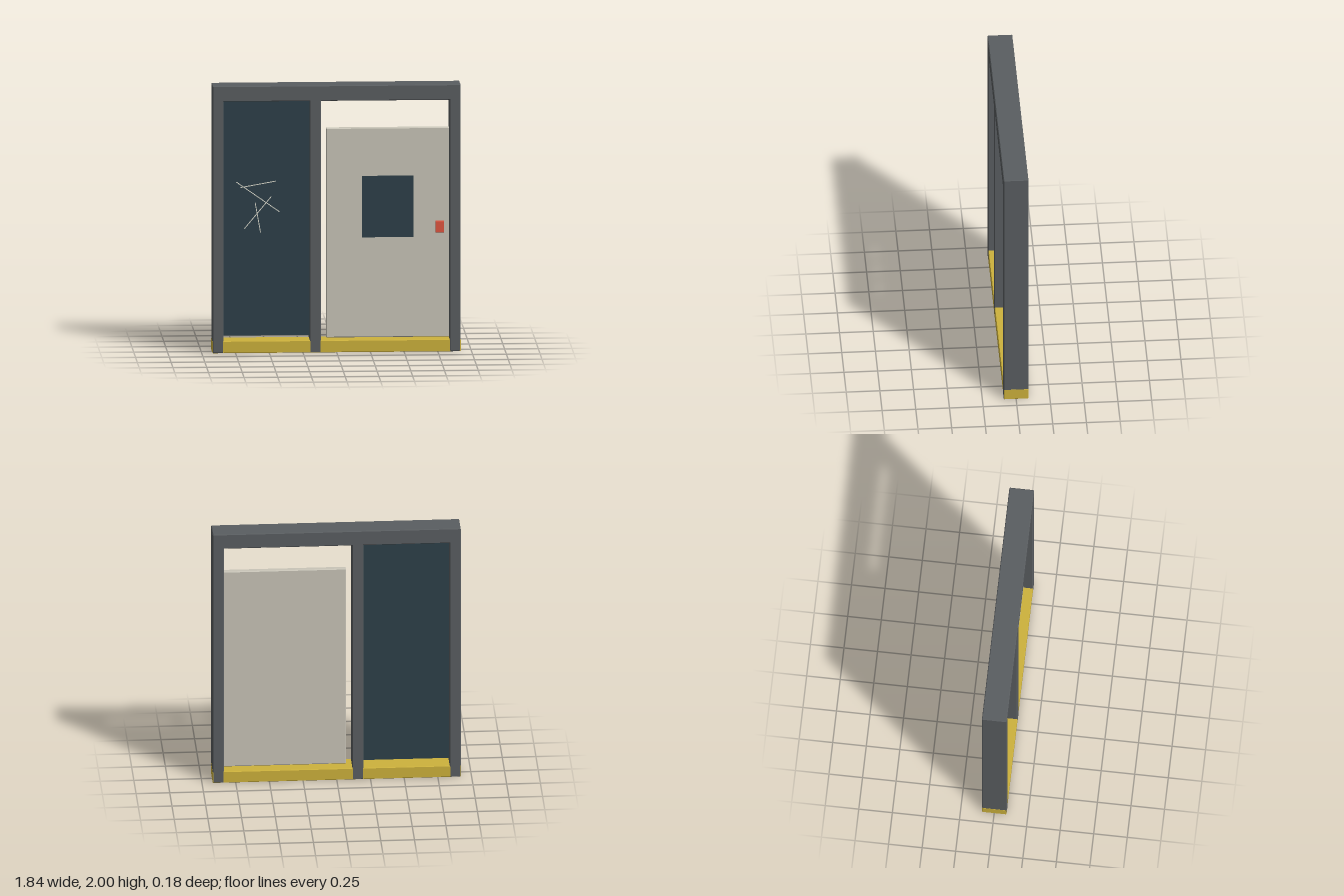
import * as THREE from 'three';
import { ConvexGeometry } from 'three/addons/geometries/ConvexGeometry.js';

const mat = (color) => new THREE.MeshStandardMaterial({ color });

// Box with chamfered edges, from its 24 corner points
function chamferBox(w, h, d, c) {
  const pts = [];
  for (const x of [-1, 1]) for (const y of [-1, 1]) for (const z of [-1, 1])
    for (let axis = 0; axis < 3; axis++) {
      const inset = [0, 1, 2].map((i) => (i === axis ? 0 : c));
      pts.push(new THREE.Vector3(x * (w / 2 - inset[0]), y * (h / 2 - inset[1]), z * (d / 2 - inset[2])));
    }
  return new ConvexGeometry(pts);
}

export function createModel() {
  const group = new THREE.Group();
  const steel = mat(0x5a5e61), glass = mat(0x2d4049), panel = mat(0xc9c5b8);
  const yellow = mat(0xcdb23c), red = mat(0xe05540), pale = mat(0xdddccf);

  // Adds a part given by its extents along x, y and z
  function add(name, material, [x0, x1], [y0, y1], [z0, z1], chamfer = 0) {
    const size = [x1 - x0, y1 - y0, z1 - z0];
    const geometry = chamfer ? chamferBox(...size, chamfer) : new THREE.BoxGeometry(...size);
    const mesh = new THREE.Mesh(geometry, material);
    mesh.name = name;
    mesh.position.set((x0 + x1) / 2, (y0 + y1) / 2, (z0 + z1) / 2);
    group.add(mesh);
    return mesh;
  }

  // Frame: three posts, header and yellow sill
  const depth = [-0.092, 0.092];
  add('rightPost', steel, [-0.92, -0.838], [0, 1.99], depth, 0.005);
  add('middlePost', steel, [-0.198, -0.116], [0, 1.99], depth, 0.005);
  add('leftPost', steel, [0.838, 0.92], [0, 1.99], depth, 0.005);
  add('header', steel, [-0.92, 0.92], [1.885, 2], depth, 0.005);
  add('sill', yellow, [-0.921, 0.921], [0, 0.09], [-0.091, 0.091], 0.004);

  // Fixed side pane
  add('sidePane', glass, [-0.845, -0.195], [0.12, 1.888], [-0.01, 0.01]);

  // Crack lines on the pane
  const cracks = [
    [-0.74, 1.27, -0.42, 1.045],
    [-0.71, 1.228, -0.445, 1.275],
    [-0.48, 1.16, -0.68, 0.92],
    [-0.6, 1.115, -0.56, 0.89],
  ];
  for (const [x0, y0, x1, y1] of cracks) {
    const length = Math.hypot(x1 - x0, y1 - y0);
    const cx = (x0 + x1) / 2, cy = (y0 + y1) / 2;
    const crack = add('crack', pale, [cx - length / 2, cx + length / 2], [cy - 0.003, cy + 0.003], [0.009, 0.013]);
    crack.rotation.z = Math.atan2(y1 - y0, x1 - x0);
  }

  // Sliding door with window and handle
  add('door', panel, [-0.075, 0.845], [0.1, 1.67], [-0.022, 0.022], 0.006);
  add('doorWindow', glass, [0.19, 0.575], [0.85, 1.31], [0.015, 0.027]);
  add('handle', red, [0.735, 0.8], [0.885, 0.97], [0.018, 0.048], 0.003);

  return group;
}
